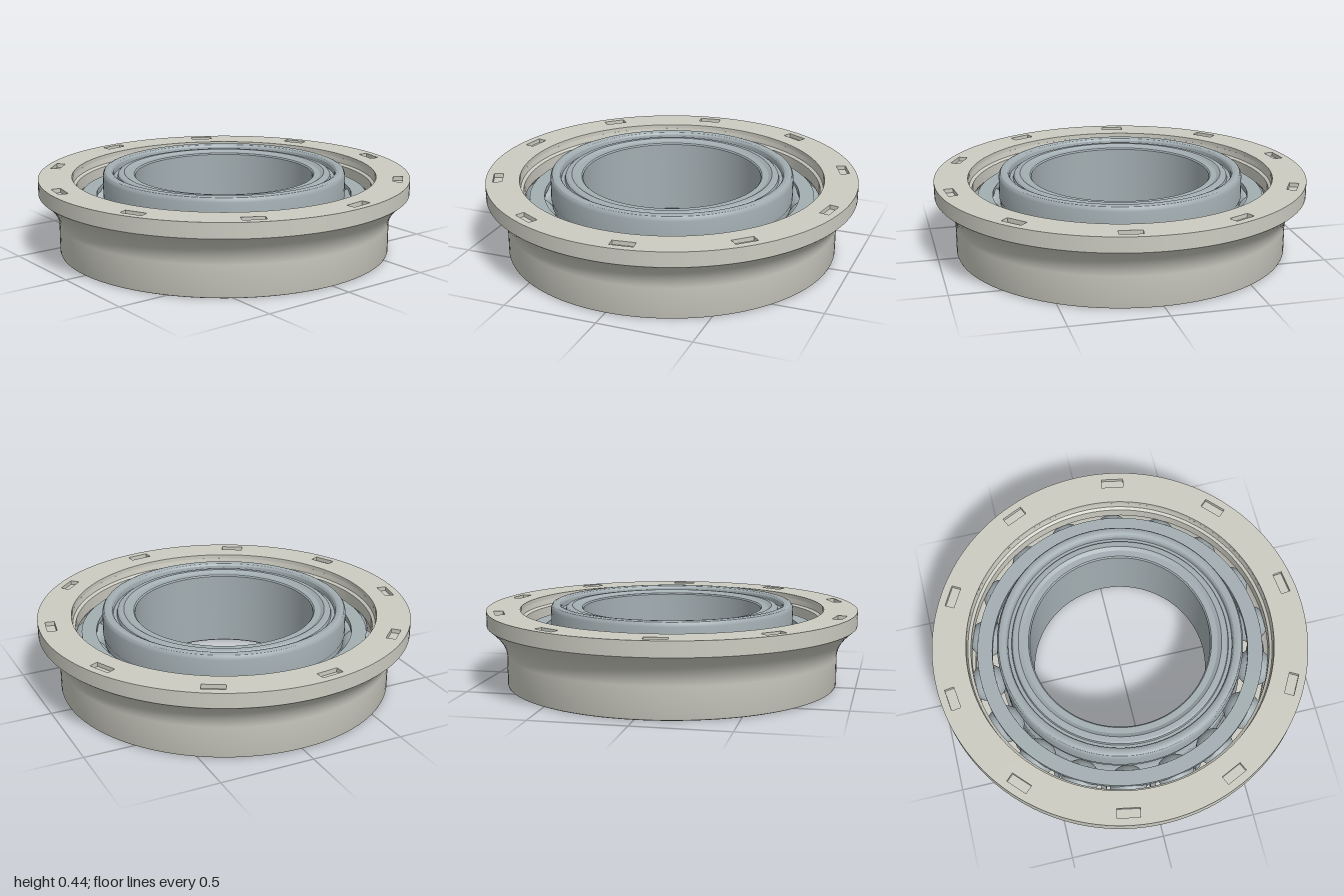
import * as THREE from 'three';
import { toCreasedNormals } from 'three/addons/utils/BufferGeometryUtils.js';

const ringColor = new THREE.MeshStandardMaterial({ color: 0xcbcbc1 });
const steel = new THREE.MeshStandardMaterial({ color: 0xa3aeb2 });

const BALLS = 18, PITCH = 0.735, BALL_R = 0.1, BALL_Y = 0.205;
const POCKETS = 10, FLOOR_Y = 0.388, TOP_Y = 0.41;

function mesh(name, geometry, material) {
  const m = new THREE.Mesh(geometry, material);
  m.name = name;
  return m;
}

// Revolve a closed counter-clockwise [radius, height] profile
function revolve(name, profile, material) {
  const pts = [...profile, profile[0]].map(([r, y]) => new THREE.Vector2(r, y));
  return mesh(name, toCreasedNormals(new THREE.LatheGeometry(pts, 128), 0.45), material);
}

// Ball track groove: arc around the ball centre, between two angles
function track(from, to, steps = 10) {
  const r = BALL_R + 0.002;
  return Array.from({ length: steps + 1 }, (_, i) => {
    const a = from + (to - from) * i / steps;
    return [PITCH + r * Math.cos(a), BALL_Y + r * Math.sin(a)];
  });
}

export function createModel() {
  const model = new THREE.Group();
  model.name = 'flangedBearing';

  // Outer ring with flared flange, recessed underside and closing shield
  const flare = new THREE.QuadraticBezierCurve(
    new THREE.Vector2(0.895, 0.17), new THREE.Vector2(0.9, 0.25), new THREE.Vector2(1, 0.33)
  ).getPoints(12).map(p => [p.x, p.y]);
  const outA = Math.acos(0.065 / (BALL_R + 0.002));
  model.add(revolve('outerRing', [
    [0.665, 0.05], [0.81, 0.05], [0.845, 0], [0.883, 0], [0.892, 0.004], [0.895, 0.012],
    ...flare,
    [1, FLOOR_Y], [0.82, FLOOR_Y], [0.815, 0.36], [0.8, 0.35],
    ...track(outA, -outA),
    [0.8, 0.075], [0.665, 0.075],
  ], ringColor));

  // Flange top plate, pierced by ten shallow rectangular pockets
  const plate = new THREE.Shape().absarc(0, 0, 1, 0, Math.PI * 2, false);
  plate.holes.push(new THREE.Path().absarc(0, 0, 0.82, 0, Math.PI * 2, true));
  for (let i = 0; i < POCKETS; i++) {
    const a = THREE.MathUtils.degToRad(-7.2 + 36 * i);
    const corners = [[-0.06, 0.91], [-0.06, 0.96], [0.06, 0.96], [0.06, 0.91]].map(([t, r]) =>
      new THREE.Vector2(t * Math.cos(a) + r * Math.sin(a), -t * Math.sin(a) + r * Math.cos(a)));
    plate.holes.push(new THREE.Path(corners));
  }
  const plateGeo = new THREE.ExtrudeGeometry(plate, {
    depth: TOP_Y - FLOOR_Y, bevelEnabled: false, curveSegments: 128,
  }).rotateX(-Math.PI / 2).translate(0, FLOOR_Y, 0);
  model.add(mesh('flangeTop', toCreasedNormals(plateGeo, 0.45), ringColor));

  // Inner ring with raised shoulder bead and stepped top
  const inA = Math.acos(-0.085 / (BALL_R + 0.002));
  model.add(revolve('innerRing', [
    [0.485, 0], [0.64, 0], [0.647, 0.003], [0.65, 0.01],
    ...track(2 * Math.PI - inA, inA),
    [0.65, 0.29], [0.655, 0.3], [0.655, 0.412], [0.652, 0.425], [0.645, 0.435], [0.633, 0.44],
    [0.618, 0.44], [0.606, 0.435], [0.599, 0.425], [0.596, 0.4],
    [0.578, 0.4], [0.574, 0.415], [0.565, 0.422], [0.54, 0.424],
    [0.52, 0.412], [0.487, 0.412], [0.48, 0.405], [0.48, 0.005],
  ], steel));

  // Cage ring with a finger between each pair of balls
  const cage = new THREE.Group();
  cage.name = 'cage';
  cage.add(revolve('cageRing', [
    [0.69, 0.28], [0.77, 0.28], [0.77, 0.31], [0.69, 0.31],
  ], steel));
  const finger = new THREE.BoxGeometry(0.03, 0.17, 0.05);
  const ball = new THREE.SphereGeometry(BALL_R, 32, 20);
  const balls = new THREE.Group();
  balls.name = 'balls';
  for (let i = 0; i < BALLS; i++) {
    const a = i / BALLS * Math.PI * 2;
    const b = mesh('ball', ball, steel);
    b.position.set(PITCH * Math.sin(a), BALL_Y, -PITCH * Math.cos(a));
    balls.add(b);

    const c = a + Math.PI / BALLS;
    const f = mesh('cageFinger', finger, steel);
    f.position.set(0.73 * Math.sin(c), 0.2, -0.73 * Math.cos(c));
    f.rotation.y = -c;
    cage.add(f);
  }
  model.add(cage, balls);
  return model;
}
